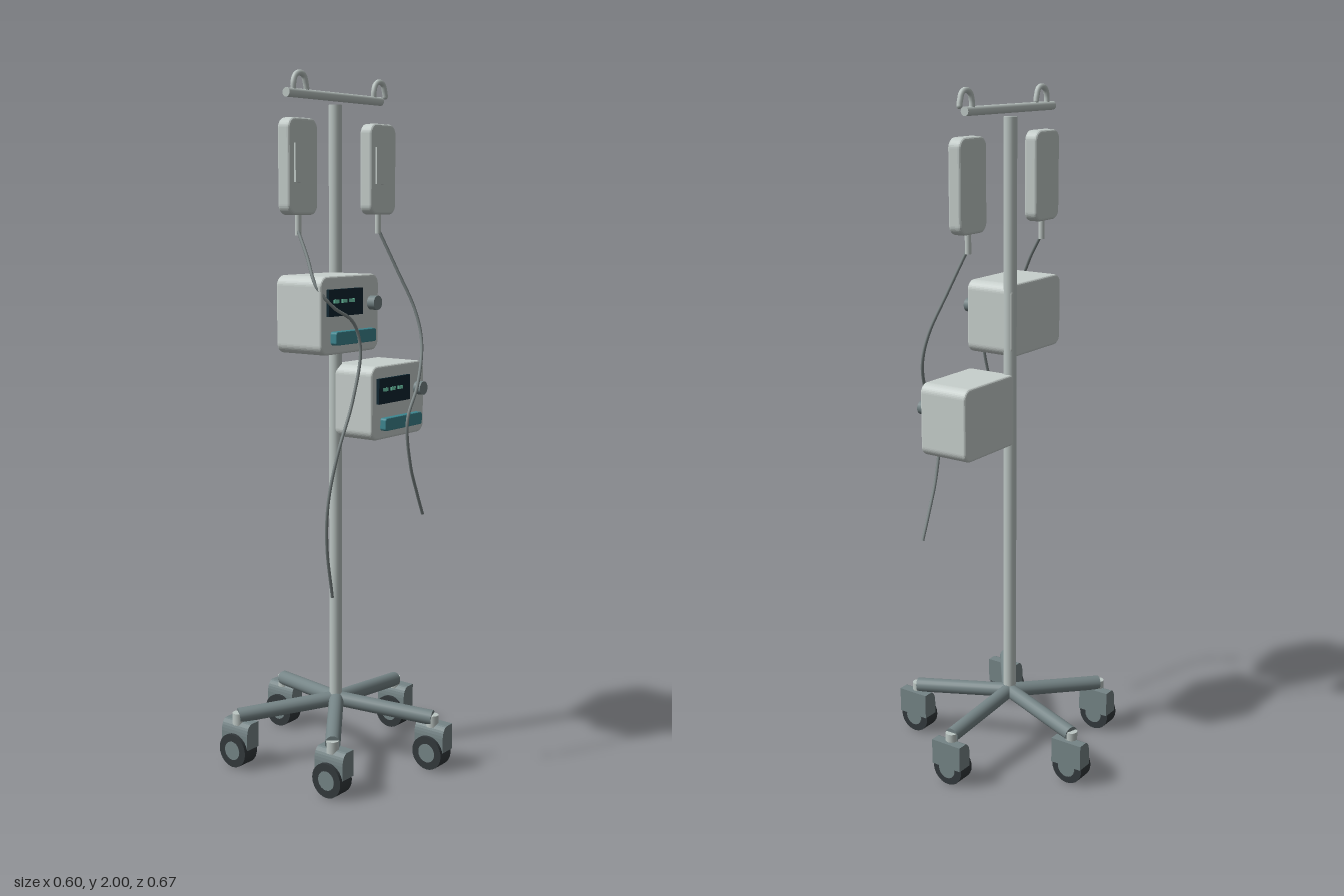
import * as THREE from 'three';

const mat = (name, color) => {
  const m = new THREE.MeshStandardMaterial({ color });
  m.name = name;
  return m;
};

export function createModel() {
  const root = new THREE.Group();
  root.name = 'infusionStand';
  const metal = mat('pale metal', 0xbcc6c3);
  const shell = mat('pump shell grey', 0xc8d0cd);
  const bagMat = mat('bag grey', 0xc2cbc8);
  const baseMat = mat('base grey', 0x758486);
  const rubber = mat('wheel rubber', 0x33393c);
  const teal = mat('teal button', 0x3d8690);
  const dark = mat('screen navy', 0x0c2530);
  const green = mat('readout green', 0x74d6b4);
  const tubeMat = mat('tube grey', 0x7d8787);
  const poleX = -0.032;

  const add = (parent, name, geo, material, x = 0, y = 0, z = 0) => {
    const m = new THREE.Mesh(geo, material);
    m.name = name;
    m.position.set(x, y, z);
    parent.add(m);
    return m;
  };
  const group = (name, x = 0, y = 0, z = 0) => {
    const g = new THREE.Group();
    g.name = name;
    g.position.set(x, y, z);
    root.add(g);
    return g;
  };
  // Rounded slab centred on the origin, with bevelled front and back edges
  const slab = (w, h, d, r, bevel) => {
    const a = w / 2 - bevel, b = h / 2 - bevel, c = Math.max(r - bevel, 0.001);
    const s = new THREE.Shape();
    s.absarc(a - c, b - c, c, 0, Math.PI / 2);
    s.absarc(-a + c, b - c, c, Math.PI / 2, Math.PI);
    s.absarc(-a + c, -b + c, c, Math.PI, Math.PI * 1.5);
    s.absarc(a - c, -b + c, c, Math.PI * 1.5, Math.PI * 2);
    s.closePath();
    const g = new THREE.ExtrudeGeometry(s, {
      depth: d - 2 * bevel, bevelEnabled: bevel > 0, bevelSize: bevel,
      bevelThickness: bevel, bevelSegments: 3, curveSegments: 5,
    });
    return g.translate(0, 0, -d / 2 + bevel);
  };
  // Rod between two points
  const rod = (parent, name, a, b, r, material) => {
    const dir = b.clone().sub(a);
    const m = add(parent, name, new THREE.CylinderGeometry(r, r, dir.length(), 20), material);
    m.position.copy(a).add(b).multiplyScalar(0.5);
    m.quaternion.setFromUnitVectors(new THREE.Vector3(0, 1, 0), dir.normalize());
    return m;
  };
  const V = (x, y, z) => new THREE.Vector3(x, y, z);

  // Pole and cross bar
  rod(root, 'pole', V(poleX - 0.003, 0.175, 0), V(poleX - 0.003, 1.915, 0), 0.019, metal);
  rod(root, 'crossBar', V(-0.25, 1.937, 0), V(0.18, 1.937, 0), 0.0125, metal);

  // Hooks
  for (const x of [-0.193, 0.173]) {
    const pts = [[-0.026, 1.94], [-0.026, 1.965], [-0.018, 1.984], [0, 1.992],
      [0.018, 1.986], [0.026, 1.968], [0.03, 1.952]].map(([px, py]) => V(x + px, py, 0));
    add(root, 'hook', new THREE.TubeGeometry(new THREE.CatmullRomCurve3(pts), 28, 0.008, 10), metal);
    const tip = pts[pts.length - 1];
    add(root, 'hookTip', new THREE.SphereGeometry(0.008, 10, 8), metal, tip.x, tip.y, tip.z);
  }

  // Fluid bags with label and spout
  for (const x of [-0.22, 0.148]) {
    const bag = group('fluidBag', x, 1.74, 0.015);
    add(bag, 'bagBody', slab(0.124, 0.26, 0.043, 0.028, 0.008), bagMat);
    add(bag, 'bagLabel', new THREE.BoxGeometry(0.084, 0.105, 0.006), bagMat, 0, 0.01, 0.0245);
    add(bag, 'bagSpout', new THREE.CylinderGeometry(0.009, 0.009, 0.06, 14), bagMat, 0, -0.155, 0);
  }

  // Pumps
  for (const [x, y] of [[-0.149, 1.341], [0.08, 1.078]]) {
    const pump = group('pump', x, y, 0);
    add(pump, 'pumpCase', slab(0.26, 0.213, 0.158, 0.028, 0.007), shell, 0, 0, 0.063);
    add(pump, 'screen', new THREE.BoxGeometry(0.152, 0.073, 0.01), dark, -0.031, 0.035, 0.146);
    for (let i = 0; i < 3; i++)
      add(pump, 'readoutDash', new THREE.BoxGeometry(0.022, 0.01, 0.003), green, -0.076 + i * 0.035, 0.039, 0.152);
    add(pump, 'button', slab(0.182, 0.037, 0.022, 0.008, 0.003), teal, 0.001, -0.061, 0.152);
    add(pump, 'knob', new THREE.CylinderGeometry(0.02, 0.02, 0.026, 20).rotateX(Math.PI / 2), baseMat, 0.094, 0.027, 0.153);
  }

  // Drip tubes
  const tubes = [
    [[-0.222, 1.57, 0.015], [-0.25, 1.5, 0.07], [-0.277, 1.42, 0.125], [-0.245, 1.365, 0.158],
      [-0.185, 1.325, 0.176], [-0.156, 1.25, 0.181], [-0.19, 1.11, 0.181], [-0.25, 0.97, 0.176],
      [-0.274, 0.84, 0.162], [-0.25, 0.71, 0.137], [-0.185, 0.54, 0.105]],
    [[0.148, 1.57, 0.015], [0.18, 1.45, 0.062], [0.207, 1.33, 0.11], [0.203, 1.24, 0.137],
      [0.14, 1.12, 0.168], [0.082, 1.02, 0.173], [0.115, 0.885, 0.161], [0.17, 0.79, 0.147], [0.216, 0.715, 0.137]],
  ];
  for (const t of tubes)
    add(root, 'dripTube', new THREE.TubeGeometry(
      new THREE.CatmullRomCurve3(t.map((p) => V(...p))), 90, 0.0047, 8), tubeMat);

  // Caster cover profile: upright outer side, rounded inner shoulder
  const cover = new THREE.Shape();
  cover.moveTo(0.03, 0.058);
  cover.lineTo(0.03, 0.135);
  cover.lineTo(0.0, 0.135);
  cover.quadraticCurveTo(-0.018, 0.13, -0.02, 0.1);
  cover.lineTo(-0.02, 0.058);
  cover.closePath();
  const coverGeo = new THREE.ExtrudeGeometry(cover, { depth: 0.1, bevelEnabled: false, curveSegments: 6 });
  coverGeo.translate(0, 0, -0.05);
  const wheelGeo = new THREE.CylinderGeometry(0.05, 0.05, 0.053, 28).rotateZ(Math.PI / 2);
  const hubGeo = new THREE.CylinderGeometry(0.028, 0.028, 0.058, 20).rotateZ(Math.PI / 2);

  // Five-legged base with casters
  add(root, 'baseHub', new THREE.SphereGeometry(0.023, 18, 12), baseMat, poleX, 0.174, 0);
  for (let i = 0; i < 5; i++) {
    const a = (i * Math.PI * 2) / 5;
    const x = poleX + 0.3 * Math.cos(a), z = 0.3 * Math.sin(a);
    rod(root, 'baseLeg', V(poleX, 0.174, 0), V(x, 0.15, z), 0.022, baseMat);
    const caster = group('caster', x, 0, z);
    add(caster, 'casterStem', new THREE.CylinderGeometry(0.018, 0.018, 0.035, 18), metal, 0, 0.142, 0);
    add(caster, 'casterCover', coverGeo, baseMat);
    add(caster, 'casterWheel', wheelGeo, rubber, -0.0035, 0.05, 0);
    add(caster, 'wheelHub', hubGeo, baseMat, -0.002, 0.05, 0);
  }
  return root;
}
